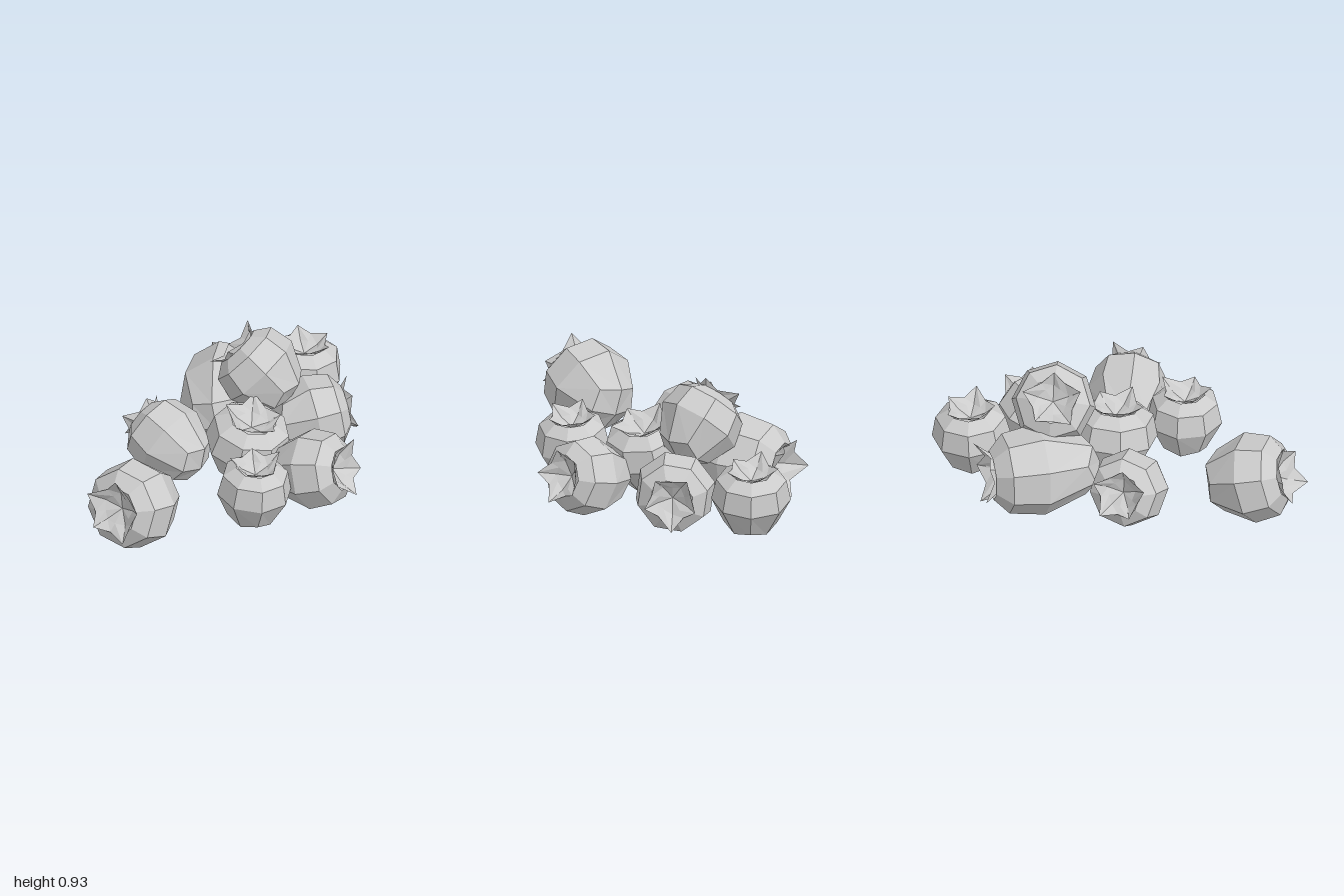
import * as THREE from 'three';

const UP = new THREE.Vector3(0, 1, 0);

// Each berry: centre, crown direction, radius, half length, spin of the body and turn of the crown
const BERRIES = [
  { name: 'frontLeftBerry', at: [-0.665, 0.28, 0.64], dir: [-0.65, 0.28, 0.66], r: 0.303, h: 0.32, spin: 0.3, turn: 0 },
  { name: 'leftBerry', at: [-0.325, 0.25, -0.075], dir: [-0.58, 0.36, -0.66], r: 0.262, h: 0.305, spin: 0.1, turn: 0 },
  { name: 'longBackBerry', at: [0.115, 0.27, -0.51], dir: [0.28, 0.02, -0.95], r: 0.305, h: 0.425, spin: 0.25, turn: 0.6 },
  { name: 'backRightBerry', at: [0.675, 0.26, -0.715], dir: [0.06, 1, -0.03], r: 0.264, h: 0.262, spin: 0.2, turn: 0.6 },
  { name: 'rightBerry', at: [0.65, 0.26, -0.2], dir: [0.98, 0.13, -0.08], r: 0.272, h: 0.29, spin: 0.35, turn: Math.PI },
  { name: 'topBerry', at: [0.325, 0.595, -0.29], dir: [-0.58, 0.6, -0.36], r: 0.28, h: 0.285, spin: 0.15, turn: 0 },
  { name: 'middleBerry', at: [0.175, 0.28, 0.085], dir: [0.13, 0.95, 0.13], r: 0.29, h: 0.275, spin: 0.4, turn: 0.3 },
  { name: 'frontBerry', at: [0.13, 0.255, 0.6], dir: [0.06, 1, 0.03], r: 0.25, h: 0.26, spin: 0.05, turn: 0.2 },
  { name: 'frontRightBerry', at: [0.55, 0.255, 0.405], dir: [0.76, 0.3, 0.56], r: 0.268, h: 0.305, spin: 0.3, turn: 0.5 },
];

// Eight-sided body with a dished top and a four-quad base, one unit in radius
function bodyGeometry() {
  const profile = [
    [0, -0.95], [0.68, -0.66], [1, 0], [0.88, 0.56],
    [0.54, 0.79], [0.38, 0.64], [0, 0.5],
  ].map(([x, y]) => new THREE.Vector2(x, y));
  const geometry = new THREE.LatheGeometry(profile, 8);
  const p = geometry.attributes.position;
  for (let side = 1; side < 8; side += 2) {
    const k = side * profile.length + 1;
    p.setXYZ(k, p.getX(k) * 0.84, -0.8, p.getZ(k) * 0.84);
  }
  return geometry;
}

// Five uneven, low spreading sepals around a sunken centre
function crownGeometry(seed) {
  const count = 10;
  const positions = [0, 0.52, 0];
  const index = [];
  for (let i = 0; i < count; i++) {
    const tip = i % 2 === 0;
    const vary = Math.sin(seed * 2.7 + i * 1.9);
    const a = (i / count) * Math.PI * 2 + vary * 0.06;
    const s = Math.sin(a), c = Math.cos(a);
    const inner = tip ? 0.38 : 0.32;
    const outer = tip ? 0.69 + vary * 0.05 : 0.5;
    const height = tip ? 0.95 + vary * 0.06 : 0.82;
    positions.push(s * inner, tip ? 0.67 : 0.7, c * inner, s * outer, height, c * outer);
    const p = 1 + i * 2, q = 1 + ((i + 1) % count) * 2;
    index.push(0, p, q, p, p + 1, q + 1, p, q + 1, q);
  }
  const geometry = new THREE.BufferGeometry();
  geometry.setAttribute('position', new THREE.Float32BufferAttribute(positions, 3));
  geometry.setIndex(index);
  geometry.computeVertexNormals();
  return geometry;
}

export function createModel() {
  const model = new THREE.Group();
  model.name = 'berryPile';
  const skin = new THREE.MeshStandardMaterial({ color: 0xcccccc, flatShading: true });
  const sepals = new THREE.MeshStandardMaterial({ color: 0xcccccc, flatShading: true, side: THREE.DoubleSide });
  const bodyShape = bodyGeometry();

  BERRIES.forEach(({ name, at, dir, r, h, spin, turn }, i) => {
    const berry = new THREE.Group();
    berry.name = name;
    const body = new THREE.Mesh(bodyShape, skin);
    body.name = 'body';
    body.rotation.y = spin;
    // With no turn, the first sepal points upward on a tilted berry
    const crown = new THREE.Mesh(crownGeometry(i + 1), sepals);
    crown.name = 'crown';
    crown.rotation.y = Math.atan2(-dir[0], -dir[2]) + turn;
    berry.add(body, crown);
    berry.scale.set(r, h, r);
    berry.quaternion.setFromUnitVectors(UP, new THREE.Vector3(...dir).normalize());
    berry.position.set(...at);
    model.add(berry);
  });
  return model;
}
